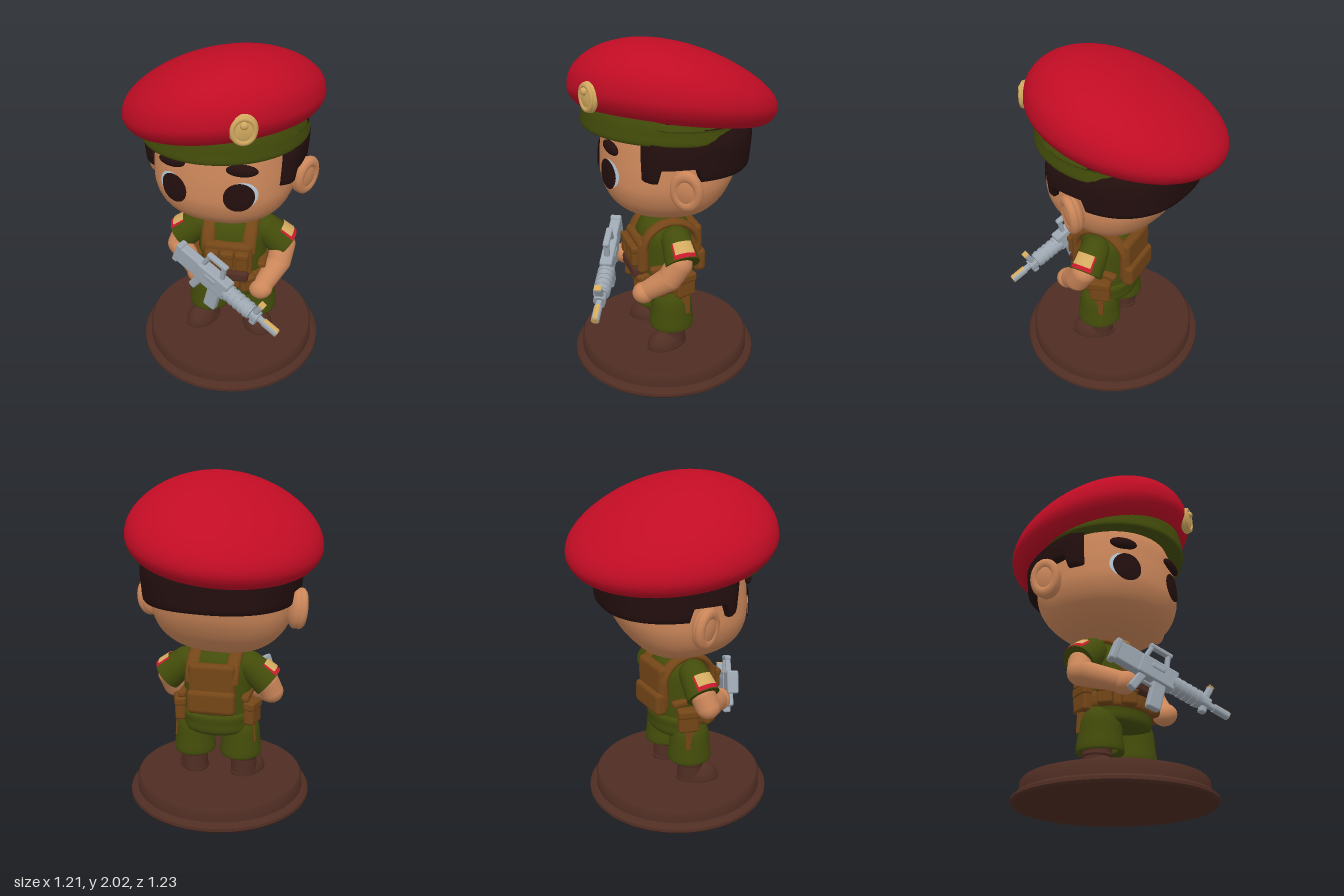
import * as THREE from 'three';
import { mergeVertices, toCreasedNormals } from 'three/addons/utils/BufferGeometryUtils.js';
import { RoundedBoxGeometry } from 'three/addons/geometries/RoundedBoxGeometry.js';

const mat = (name, color, side = THREE.FrontSide) => {
  const m = new THREE.MeshStandardMaterial({ color, side });
  m.name = name;
  return m;
};
const RED = mat('beret red', 0xc00c24), OLIVE = mat('olive cloth', 0x434c0a), SKIN = mat('skin', 0xcc875a);
const HAIR = mat('dark hair', 0x230f0e, THREE.DoubleSide), WEB = mat('webbing brown', 0x744617);
const LEATHER = mat('leather brown', 0x4f2d23), TAN = mat('brass tan', 0xd2a95f, THREE.DoubleSide);
const STEEL = mat('steel grey', 0x9ca6b0), WHITE = mat('eye white', 0xb9c9d6), BADGE_RED = mat('patch red', 0xc41a2c, THREE.DoubleSide);

const V = (x, y, z) => new THREE.Vector3(x, y, z);
const P = (pts) => pts.map(([x, y]) => new THREE.Vector2(x, y));

function add(parent, name, geo, material, pos = [0, 0, 0], rot = [0, 0, 0], scale = [1, 1, 1]) {
  const m = new THREE.Mesh(geo, material);
  m.name = name;
  m.position.set(...pos);
  m.rotation.set(...rot);
  m.scale.set(...scale);
  parent.add(m);
  return m;
}
function group(parent, name, pos = [0, 0, 0], rot = [0, 0, 0]) {
  const g = new THREE.Group();
  g.name = name;
  g.position.set(...pos);
  g.rotation.set(...rot);
  parent.add(g);
  return g;
}
const ball = (r = 1) => new THREE.SphereGeometry(r, 24, 16);
const rbox = (w, h, d, r = 0.015) => new RoundedBoxGeometry(w, h, d, 2, r);
const cyl = (r1, r2, h) => toCreasedNormals(new THREE.CylinderGeometry(r1, r2, h, 24), 0.6);

// Smooth turned form whose vertices are then moved by a rule
function turned(pts, rule, samples = 24, start = 0, length = Math.PI * 2, segs = 56) {
  const curve = new THREE.SplineCurve(P(pts)).getPoints(samples);
  curve.forEach((p) => { p.x = Math.max(0, p.x); });
  let g = new THREE.LatheGeometry(curve, segs, start, length);
  g.deleteAttribute('uv');
  g.deleteAttribute('normal');
  const pos = g.attributes.position, v = new THREE.Vector3();
  for (let i = 0; i < pos.count; i++) {
    v.fromBufferAttribute(pos, i);
    rule(v);
    pos.setXYZ(i, v.x, v.y, v.z);
  }
  g = mergeVertices(g, 1e-5);
  g.computeVertexNormals();
  return g;
}

// Slightly squared plan shape shared by head and hair
const N = 2.4;
function square(v) {
  const r = Math.hypot(v.x, v.z);
  if (r < 1e-6) return;
  const f = Math.pow(Math.abs(v.x / r) ** N + Math.abs(v.z / r) ** N, -1 / N);
  v.x *= f;
  v.z *= f;
}

// Tapered round limb between two points; returns its group (y runs along it)
function limb(parent, name, a, b, ra, rb, material, capEnd = true) {
  const dir = b.clone().sub(a), len = dir.length();
  const g = group(parent, name);
  g.position.copy(a).addScaledVector(dir, 0.5);
  g.quaternion.setFromUnitVectors(V(0, 1, 0), dir.normalize());
  add(g, name + 'Shaft', cyl(rb, ra, len), material);
  add(g, name + 'Joint', ball(ra), material, [0, -len / 2, 0]);
  if (capEnd) add(g, name + 'End', ball(rb), material, [0, len / 2, 0]);
  return g;
}

function buildHead(root) {
  const head = group(root, 'head', [-0.02, 0, 0.01], [0, 0.32, 0]);
  const profile = [[0, 0.975], [0.16, 0.985], [0.28, 1.025], [0.367, 1.1], [0.41, 1.2], [0.415, 1.3], [0.405, 1.42], [0.39, 1.52], [0.36, 1.6]];
  // The nape tapers in below the hair
  const nape = (v) => {
    square(v);
    if (v.z < 0) v.z *= 0.93 - 0.7 * Math.min(0.24, Math.max(0, 1.3 - v.y));
  };
  add(head, 'face', turned(profile, nape, 40), SKIN);

  // Projects a flat oval onto the face
  const table = new THREE.SplineCurve(P(profile)).getPoints(80);
  const faceZ = (x, y) => {
    const i = Math.max(1, table.findIndex((p) => p.y >= y));
    const a = table[i - 1], b = table[i];
    const r = a.x + (b.x - a.x) * (y - a.y) / (b.y - a.y);
    return Math.pow(r ** N - Math.abs(x) ** N, 1 / N);
  };
  const oval = (name, cx, cy, rx, ry, lift, material) => {
    const g = new THREE.RingGeometry(0, 1, 36, 4), pos = g.attributes.position;
    for (let i = 0; i < pos.count; i++) {
      const x = cx + pos.getX(i) * rx, y = cy + pos.getY(i) * ry;
      pos.setXYZ(i, x, y, faceZ(x, y) + lift);
    }
    g.computeVertexNormals();
    add(head, name, g, material);
  };
  for (const s of [-1, 1]) {
    oval('eyeWhite', s * 0.203, 1.295, 0.08, 0.082, 0.006, WHITE);
    oval('eyeDark', s * 0.187, 1.287, 0.082, 0.088, 0.012, HAIR);
    add(head, 'eyebrow', ball(), HAIR, [s * 0.2, 1.447, faceZ(0.2, 1.447) + 0.006], [0, s * 0.3, -s * 0.08], [0.088, 0.036, 0.026]);
    // Ear with a soft raised rim, flared forward
    const ear = group(head, 'ear', [s * 0.455, 1.262, -0.005], [0, -s * 0.5, -s * 0.1]);
    add(ear, 'earBody', ball(), SKIN, [0, 0, 0], [0, 0, 0], [0.052, 0.118, 0.09]);
    add(ear, 'earRim', new THREE.TorusGeometry(0.07, 0.029, 12, 28), SKIN, [s * 0.022, 0.005, -0.005], [0, Math.PI / 2, 0], [0.95, 1.25, 1]);
  }

  // Hair band round the back, with sideburns and notches over the ears
  const start = 1.02, span = Math.PI * 2 - 2 * start;
  add(head, 'hair', turned([[0.36, 1.32], [0.446, 1.298], [0.463, 1.38], [0.468, 1.5], [0.44, 1.59]], (v) => {
    const a = Math.abs(Math.atan2(v.x, v.z));
    const end = Math.min(1, (a - start) / 0.15);
    const k = 0.915 + 0.085 * end;
    if (v.y < 1.38 && a > 1.24 && a < 1.72) v.y = 1.38;
    square(v);
    v.x *= k;
    v.z *= k;
  }, 16, start, span, 80), HAIR);
}

function buildBeret(root) {
  const hat = group(root, 'beret');
  // Lens-shaped crown, tilted, fuller toward the front left
  add(hat, 'crown', turned([[0.34, -0.06], [0.44, -0.115], [0.505, -0.1], [0.545, -0.05], [0.555, 0.005], [0.533, 0.08], [0.47, 0.157], [0.37, 0.227], [0.24, 0.282], [0.11, 0.31], [0, 0.317]],
    (v) => {
      v.z *= 1.1;
      if (v.y > 0) v.y *= 1 + 0.3 * v.x + 0.25 * v.z;
      v.y += 1.667 + 0.18 * v.x + 0.085 * v.z;
    }, 44, 0, Math.PI * 2, 64), RED, [-0.05, 0, -0.003]);
  add(hat, 'sweatBand', turned([[0.38, 1.52], [0.455, 1.5], [0.476, 1.512], [0.473, 1.56], [0.465, 1.62], [0.44, 1.7]],
    (v) => { v.z *= 1.05; v.y += 0.03 * v.x + 0.04 * v.z - (v.z < 0 && v.y > 1.6 ? 0.08 : 0); }), OLIVE, [-0.02, 0, 0.03]);
  // Plain oval cap badge
  const badge = group(hat, 'capBadge', [0.355, 1.75, 0.395], [0, 0.76, 0]);
  add(badge, 'badgePlate', ball(), TAN, [0, 0, 0], [0, 0, 0], [0.077, 0.087, 0.032]);
  add(badge, 'badgeRim', new THREE.TorusGeometry(0.058, 0.014, 8, 28), TAN, [0, 0, 0.018], [0, 0, 0], [1, 1.15, 1]);
  add(badge, 'badgeBoss', ball(), TAN, [0, 0.035, 0.03], [0, 0, 0], [0.022, 0.022, 0.018]);
}

function buildBody(root) {
  const body = group(root, 'body', [0.04, 0, 0.04], [0, 0.45, 0]);
  const flat = (k) => (v) => { v.z *= k; };
  add(body, 'shirt', turned([[0, 0.5], [0.19, 0.5], [0.212, 0.62], [0.212, 0.75], [0.205, 0.85], [0.165, 0.92], [0.115, 0.95], [0.1, 0.975], [0.07, 0.97]], flat(0.82)), OLIVE);
  add(body, 'neck', cyl(0.085, 0.085, 0.12), SKIN, [0, 0.95, 0]);
  add(body, 'shortsSeat', turned([[0, 0.42], [0.12, 0.41], [0.215, 0.44], [0.23, 0.5], [0.215, 0.57], [0, 0.58]], flat(0.78)), OLIVE);
  add(body, 'belt', turned([[0.19, 0.515], [0.233, 0.52], [0.24, 0.565], [0.23, 0.61], [0.19, 0.615]], flat(0.84), 24, -2, 4), WEB);

  // Load vest: chest panel, pouches, straps and back pack
  add(body, 'chestPanel', rbox(0.3, 0.22, 0.07, 0.03), WEB, [0, 0.74, 0.17]);
  add(body, 'chestBand', rbox(0.26, 0.07, 0.07, 0.02), LEATHER, [0, 0.635, 0.2]);
  for (const x of [-0.09, 0, 0.09]) {
    add(body, 'chestPouch', rbox(0.08, 0.13, 0.05, 0.02), WEB, [x, 0.745, 0.215]);
    add(body, 'pouchFlap', rbox(0.086, 0.045, 0.055), WEB, [x, 0.79, 0.216]);
  }
  add(body, 'backPanel', rbox(0.29, 0.3, 0.07, 0.03), WEB, [0, 0.755, -0.17]);
  add(body, 'backPack', rbox(0.3, 0.15, 0.08, 0.03), WEB, [0, 0.665, -0.19]);
  for (const s of [-1, 1]) {
    add(body, 'shoulderStrap', new THREE.TorusGeometry(0.172, 0.024, 10, 28, Math.PI), WEB, [s * 0.125, 0.785, -0.005], [0, Math.PI / 2, 0], [1, 0.93, 1.8]);
    add(body, 'sideStrap', rbox(0.05, 0.04, 0.3), WEB, [s * 0.2, 0.68, 0]);
    [[0.5, 0.09, 0.11], [1.1, 0.09, 0.11], [1.85, 0.13, 0.15]].forEach(([a, w, h]) => {
      const p = group(body, 'beltPouch', [s * Math.sin(a) * 0.24, 0.57, Math.cos(a) * 0.205], [0, s * a, 0]);
      add(p, 'pouchBody', rbox(w, h, 0.07, 0.02), WEB);
      add(p, 'pouchLid', rbox(w + 0.008, h * 0.4, 0.076, 0.018), WEB, [0, h * 0.32, 0.002]);
    });
    add(body, 'hangingStrap', rbox(0.012, 0.16, 0.05, 0.005), WEB, [s * 0.25, 0.455, -0.06], [0, 0, s * 0.06]);

    // Short sleeves with a curved arm patch
    const sleeve = limb(body, 'sleeve', V(s * 0.205, 0.862, -0.01), V(s * 0.325, 0.758, -0.01), 0.088, 0.104, OLIVE, false);
    const patch = (name, r, h, arc, y, m) => add(sleeve, name,
      new THREE.CylinderGeometry(r + 0.004, r - 0.004, h, 16, 1, true, -s * Math.PI / 2 - arc / 2, arc), m, [0, y, 0]);
    patch('patchBorder', 0.104, 0.1, 1.35, 0.025, BADGE_RED);
    patch('patchField', 0.108, 0.078, 1.12, 0.012, TAN);

    // Legs of the shorts
    add(body, 'shortsLeg', turned([[0.1, 0.29], [0.128, 0.265], [0.138, 0.285], [0.13, 0.36], [0.118, 0.46], [0.08, 0.53]], (v) => { v.x *= 0.96; }), OLIVE, [s * 0.15, 0, 0]);

    // Boots, the left one turned out
    const boot = group(body, 'boot', [s > 0 ? 0.15 : -0.172, 0.13, -0.005], [0, s > 0 ? 0.4 : -0.42, 0]);
    add(boot, 'bootShaft', cyl(0.078, 0.085, 0.2), LEATHER, [0, 0.1, 0]);
    add(boot, 'bootCuff', new THREE.TorusGeometry(0.077, 0.012, 8, 24), LEATHER, [0, 0.12, 0], [Math.PI / 2, 0, 0]);
    add(boot, 'bootToe', new THREE.SphereGeometry(1, 24, 10, 0, Math.PI * 2, 0, Math.PI / 2), LEATHER, [0, 0.005, 0.055], [0, 0, 0], [0.092, 0.1, 0.125]);
    add(boot, 'bootSole', cyl(1, 1, 0.02), LEATHER, [0, 0.01, 0.045], [0, 0, 0], [0.095, 1, 0.14]);
  }
}

function buildForearms(root) {
  const arm = (name, elbow, hand, sleeveEnd) => {
    limb(root, name + 'Elbow', sleeveEnd, elbow, 0.078, 0.074, SKIN);
    limb(root, name + 'Forearm', elbow, hand, 0.074, 0.058, SKIN);
    add(root, name + 'Hand', ball(), SKIN, hand.toArray(), [0, 0, 0.4], [0.075, 0.065, 0.068]);
  };
  arm('right', V(-0.26, 0.69, 0.2), V(-0.03, 0.63, 0.3), V(-0.24, 0.76, 0.17));
  arm('left', V(0.335, 0.665, -0.035), V(0.31, 0.545, 0.125), V(0.325, 0.76, -0.09));
}

function buildRifle(root) {
  const gun = group(root, 'rifle', [0.22, 0.64, 0.365], [0, 0, -0.375]);
  const block = (name, x, y, w, h, d, rz = 0) => add(gun, name, rbox(w, h, d, 0.012), STEEL, [x, y, 0], [0, 0, rz]);
  const rod = (name, x, len, r, m = STEEL) => add(gun, name, cyl(r, r, len), m, [x, 0.003, 0], [0, 0, -Math.PI / 2]);
  block('buttPlate', -0.37, 0.01, 0.04, 0.14, 0.07);
  block('stock', -0.28, 0.012, 0.17, 0.12, 0.066);
  block('receiver', -0.1, 0.012, 0.24, 0.12, 0.078);
  block('ejectionPort', -0.11, 0.03, 0.09, 0.035, 0.088);
  block('pistolGrip', -0.19, -0.09, 0.05, 0.13, 0.05, -0.3);
  block('triggerGuard', -0.13, -0.075, 0.08, 0.014, 0.03);
  block('magazine', -0.058, -0.115, 0.085, 0.17, 0.048, 0.1);
  block('carryHandle', -0.12, 0.155, 0.15, 0.03, 0.04);
  block('handlePost', -0.185, 0.11, 0.028, 0.1, 0.036, -0.2);
  block('handlePost', -0.06, 0.11, 0.028, 0.1, 0.036, 0.2);
  rod('handguard', 0.1, 0.2, 0.048);
  for (let i = 0; i < 5; i++) rod('handguardRib', 0.03 + i * 0.036, 0.02, 0.052);
  rod('barrel', 0.26, 0.16, 0.02);
  block('frontSight', 0.228, 0.06, 0.036, 0.1, 0.045, -0.15);
  block('sightBase', 0.228, -0.03, 0.042, 0.07, 0.045, 0.1);
  rod('sightCollar', 0.228, 0.05, 0.038);
  rod('muzzle', 0.34, 0.1, 0.025);
  // Brass-coloured touches on the muzzle and sight
  add(gun, 'muzzleTopStrip', new THREE.CylinderGeometry(0.027, 0.027, 0.1, 12, 1, true, -Math.PI / 2 - 0.55, 1.1), TAN, [0.34, 0.003, 0], [0, 0, -Math.PI / 2]);
  add(gun, 'muzzleTip', cyl(0.021, 0.021, 0.004), TAN, [0.391, 0.003, 0], [0, 0, -Math.PI / 2]);
  add(gun, 'sightTop', rbox(0.036, 0.006, 0.045, 0.002), TAN, [0.235, 0.111, 0], [0, 0, -0.15]);
}

export function createModel() {
  const root = new THREE.Group();
  root.name = 'soldierFigurine';
  // Round stepped base
  const base = new THREE.LatheGeometry(P([[0, 0], [0.565, 0], [0.576, 0.012], [0.574, 0.03], [0.555, 0.045], [0.533, 0.05], [0.53, 0.115], [0.518, 0.132], [0, 0.132]]), 72);
  add(root, 'base', toCreasedNormals(base, 0.7), LEATHER, [0.025, 0, 0.04]);
  buildHead(root);
  buildBeret(root);
  buildBody(root);
  buildForearms(root);
  buildRifle(root);
  return root;
}
